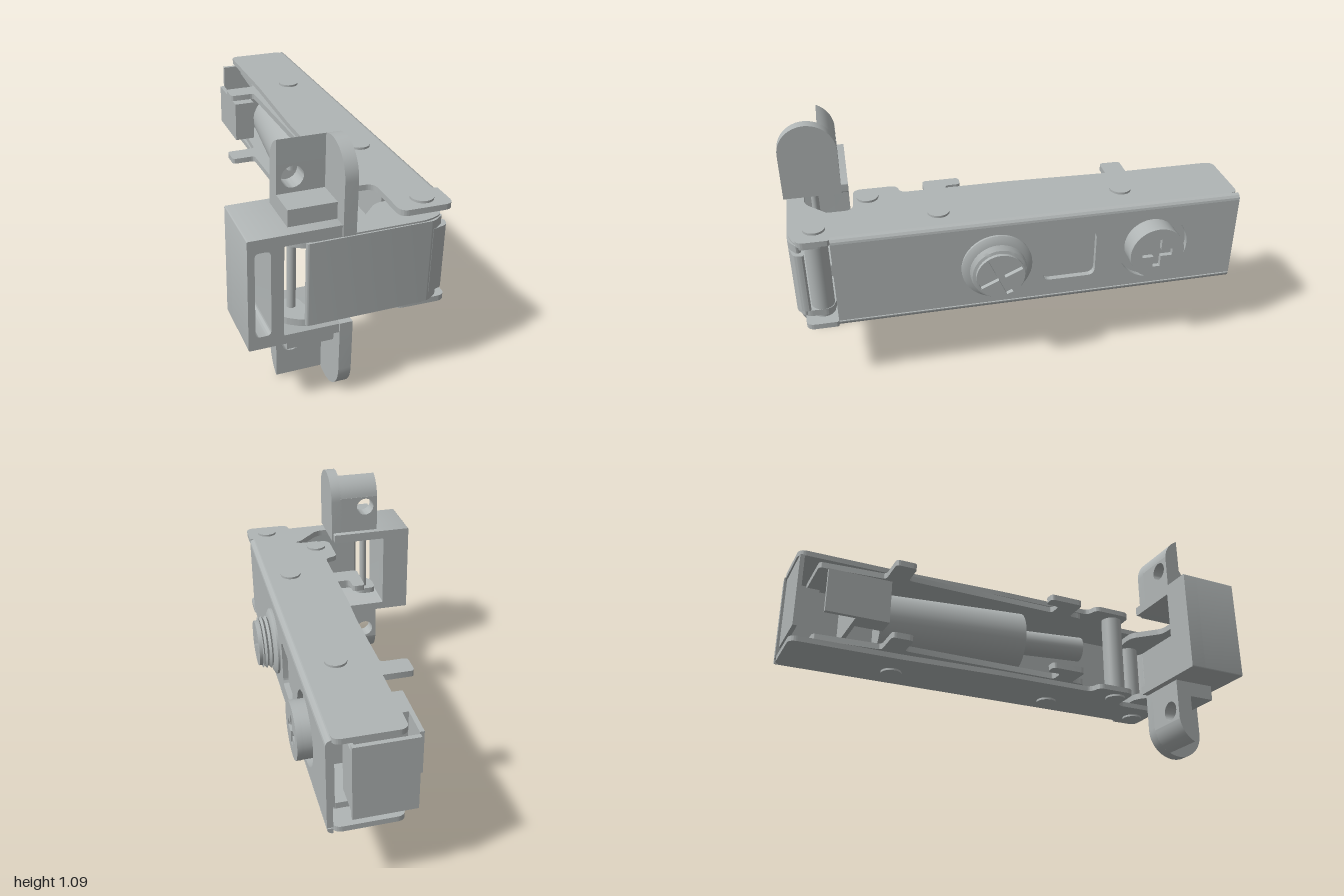
import * as THREE from 'three';
import { toCreasedNormals } from 'three/addons/utils/BufferGeometryUtils.js';

const steel = new THREE.MeshStandardMaterial({ color: 0xb0b5b5 });
steel.name = 'steel';
const MID = 0.5425; // height of the mirror plane

// Polygon with rounded corners
function poly(pts, r = 0, Type = THREE.Shape) {
  const s = new Type(), n = pts.length;
  pts.forEach(([x, y], i) => {
    const [ax, ay] = pts[(i + n - 1) % n], [bx, by] = pts[(i + 1) % n];
    const la = Math.hypot(ax - x, ay - y), lb = Math.hypot(bx - x, by - y);
    const d = Math.min(r, la * 0.45, lb * 0.45);
    const px = x + (ax - x) / la * d, py = y + (ay - y) / la * d;
    if (i === 0) s.moveTo(px, py); else s.lineTo(px, py);
    if (d > 0) s.quadraticCurveTo(x, y, x + (bx - x) / lb * d, y + (by - y) / lb * d);
  });
  s.closePath();
  return s;
}
const rect = (a, b, c, d) => [[a, b], [c, b], [c, d], [a, d]];
const circle = (x, y, r, Type = THREE.Path) => new Type().absarc(x, y, r, 0, Math.PI * 2, false);

// Extrusions along each axis
function slabZ(shape, z0, z1, holes = []) {
  shape.holes.push(...holes);
  const g = new THREE.ExtrudeGeometry(shape, { depth: z1 - z0, bevelEnabled: false, curveSegments: 20 });
  return toCreasedNormals(g.translate(0, 0, z0), 0.5);
}
// shape drawn in (x, -z)
const slabY = (pts, r, y0, y1) =>
  slabZ(poly(pts.map(([x, z]) => [x, -z]), r), y0, y1).rotateX(-Math.PI / 2);
// shape drawn in (-z, y)
const slabX = (shape, x0, x1, holes) => slabZ(shape, x0, x1, holes).rotateY(Math.PI / 2);

function cross(cx, cy, arm, h, turn) {
  const c = Math.cos(turn), s = Math.sin(turn);
  return poly([[h, arm], [-h, arm], [-h, h], [-arm, h], [-arm, -h], [-h, -h], [-h, -arm], [h, -arm],
    [h, -h], [arm, -h], [arm, h], [h, h]].map(([x, y]) => [cx + x * c - y * s, cy + x * s + y * c]), 0, THREE.Path);
}
function rod(a, b, r) {
  const A = new THREE.Vector3(...a), d = new THREE.Vector3(...b).sub(A);
  const g = new THREE.CylinderGeometry(r, r, d.length(), 32);
  g.applyQuaternion(new THREE.Quaternion().setFromUnitVectors(new THREE.Vector3(0, 1, 0), d.clone().normalize()));
  return g.translate(A.x + d.x / 2, A.y + d.y / 2, A.z + d.z / 2);
}
const box = (x0, x1, y0, y1, z0, z1) =>
  new THREE.BoxGeometry(x1 - x0, y1 - y0, z1 - z0).translate((x0 + x1) / 2, (y0 + y1) / 2, (z0 + z1) / 2);

export function createModel() {
  const model = new THREE.Group();
  model.name = 'cabinetHinge';
  const add = (name, g) => {
    const m = new THREE.Mesh(g, steel);
    m.name = name;
    model.add(m);
  };

  // Channel arm: web with two screw openings and a window
  add('armWeb', slabX(poly(rect(-0.81, 0.35, 1, 0.74)), 0.355, 0.38, [
    circle(0.61, MID, 0.16), poly(rect(0.1, 0.43, 0.34, 0.66), 0.035, THREE.Path)]));

  const flange = [[0.355, -1], [0.355, 0.81], [0.38, 0.81], [0.38, 0.95], [0.155, 0.945], [0.155, 0.7],
    [-0.02, 0.69], [-0.02, 0.495], [0.042, 0.48], [0.042, 0], [0.06, -0.5], [0.06, -1]];
  const plate = [[0.34, -0.9], [0.34, 0.44], [0.04, 0.44], [0.04, 0.37], [-0.09, 0.37], [-0.09, 0.2],
    [-0.03, 0.2], [-0.03, 0.27], [0.04, 0.27], [0.03, -0.49], [-0.09, -0.49], [-0.09, -0.59],
    [0.06, -0.59], [0.08, -0.9]];
  const strapSide = [[-0.32, 0.82], [-0.22, 0.82], [-0.2, 0.91], [0, 0.91], [0.12, 0.79], [0.2, 0.79],
    [0.33, 0.83], [0.33, 0.95], [0.26, 0.98], [-0.24, 0.98], [-0.32, 0.93]];
  const rivets = [[0.06, 0.63], [0.28, 0.87], [0.25, 0.34], [0.22, -0.49]];

  // Parts repeated above and below the middle
  for (const up of [false, true]) {
    const f = y => (up ? y : 2 * MID - y);
    const span = (a, b) => [Math.min(f(a), f(b)), Math.max(f(a), f(b))];
    add('armFlange', slabY(flange, 0.04, ...span(0.74, 0.765)));
    add('mountingPlateSide', slabY(plate, 0.02, ...span(0.707, 0.735)));
    add('strapSide', slabY(strapSide, 0.035, ...span(0.7, 0.73)));

    const corner = new THREE.Shape();
    corner.moveTo(0.355, f(0.74));
    corner.lineTo(0.38, f(0.74));
    corner.absarc(0.355, f(0.74), 0.025, 0, up ? Math.PI / 2 : -Math.PI / 2, !up);
    add('armEdge', slabZ(corner, -1, 0.81));

    for (const [x, z] of rivets) add('rivet', rod([x, f(0.76), z], [x, f(0.775), z], 0.048));

    // Round-ended cheek of the cup
    const cheek = [[-0.74, f(0.735)]], cap = [];
    for (let i = 0; i <= 24; i++) {
      const a = Math.PI * i / 24;
      cheek.push([-0.87 + 0.13 * Math.cos(a), f(0.955 + 0.13 * Math.sin(a))]);
    }
    cheek.push([-1, f(0.735)]);
    add('cupCheek', slabX(poly(cheek), -0.105, -0.052));

    // Screw wing with a hole and a curved top
    add('wingPlate', slabZ(poly(rect(-0.3, f(0.77), -0.1, f(0.97))), 0.74, 0.815,
      [circle(-0.235, f(0.915), 0.045)]));
    for (let i = 0; i <= 8; i++) {
      const a = 0.115 + (1.13 - 0.115) * i / 8;
      cap.push([-0.87 + 0.13 * Math.cos(a), f(0.955 + 0.13 * Math.sin(a))]);
    }
    cap.push([-0.815, f(0.97)]);
    add('wingTop', slabX(poly(cap), -0.3, -0.1));
    add('wingFoot', box(-0.3, -0.1, ...span(0.77, 0.85), 0.81, 0.94));
  }

  // Cup body: open towards the arm, with a blind slot in front
  const cup = () => poly([[-0.47, 0.305], [-0.06, 0.305], [-0.06, 0.345], [-0.33, 0.345],
    [-0.33, 0.735], [-0.06, 0.735], [-0.06, 0.78], [-0.47, 0.78]], 0.006);
  add('cupBack', slabZ(cup(), 0.708, 0.78));
  add('cupFront', slabZ(cup(), 0.78, 0.992, [poly(rect(-0.442, 0.36, -0.38, 0.725), 0.02, THREE.Path)]));

  // Pins
  add('cupPin', rod([-0.258, 0.35, 0.87], [-0.258, 0.735, 0.87], 0.018));
  add('innerPin', rod([0.06, 0.33, 0.63], [0.06, 0.755, 0.63], 0.05));
  add('outerPin', rod([0.28, 0.33, 0.87], [0.28, 0.755, 0.87], 0.05));

  // Strap: flat face with a curled end
  add('strapFace', slabY([[-0.24, 0.965], [0.28, 0.96], [0.32, 0.93], [0.33, 0.95], [0.28, 0.985], [-0.24, 0.988]],
    0.02, 0.362, 0.723));
  add('strapCurl', slabY([[0.26, 0.96], [0.315, 0.945], [0.33, 0.92], [0.355, 0.925], [0.345, 0.965], [0.27, 0.985]],
    0.02, 0.4, 0.685));

  // Mounting plate inside the channel, end plate and release clip
  add('mountingPlateWeb', box(0.325, 0.345, 0.36, 0.725, -0.9, 0.44));
  add('endPlate', box(0.012, 0.28, 0.37, 0.715, -1, -0.98));
  add('endPlateStem', box(0.26, 0.28, 0.4, 0.685, -0.99, -0.85));
  add('clipFace', box(-0.04, -0.02, 0.44, 0.645, -0.88, -0.72));
  add('clipArm', box(-0.04, 0.3, 0.44, 0.645, -0.74, -0.72));
  add('clipSpine', box(-0.04, 0.06, 0.44, 0.645, -0.72, -0.59));

  // Damper
  add('damperBody', rod([0.2, MID, -0.58], [0.11, MID, 0.11], 0.14));
  add('damperRod', rod([0.11, MID, 0.1], [0.06, MID, 0.43], 0.06));

  // Adjusting screw with threads and a slanted cross
  const profile = [[0.12, 0.355], [0.157, 0.38], [0.157, 0.39], [0.14, 0.4], [0.115, 0.404], [0.125, 0.412],
    [0.111, 0.423], [0.124, 0.433], [0.111, 0.443], [0.12, 0.449], [0.107, 0.452]];
  const thread = new THREE.LatheGeometry(profile.map(([r, x]) => new THREE.Vector2(r, x)), 40);
  add('screwThread', toCreasedNormals(thread.rotateZ(-Math.PI / 2).translate(0, MID, 0.11), 0.5));
  add('screwCore', rod([0.36, MID, 0.11], [0.448, MID, 0.11], 0.108));
  add('screwCrown', slabX(circle(-0.11, MID, 0.107, THREE.Shape), 0.445, 0.468, [cross(-0.11, MID, 0.1, 0.015, 0.42)]));

  // Fixing screw with an upright cross
  add('fixingScrewCore', rod([0.34, MID, -0.61], [0.415, MID, -0.61], 0.124));
  add('fixingScrewHead', slabX(circle(0.61, MID, 0.125, THREE.Shape), 0.41, 0.436, [cross(0.61, MID, 0.07, 0.017, 0)]));

  return model;
}
